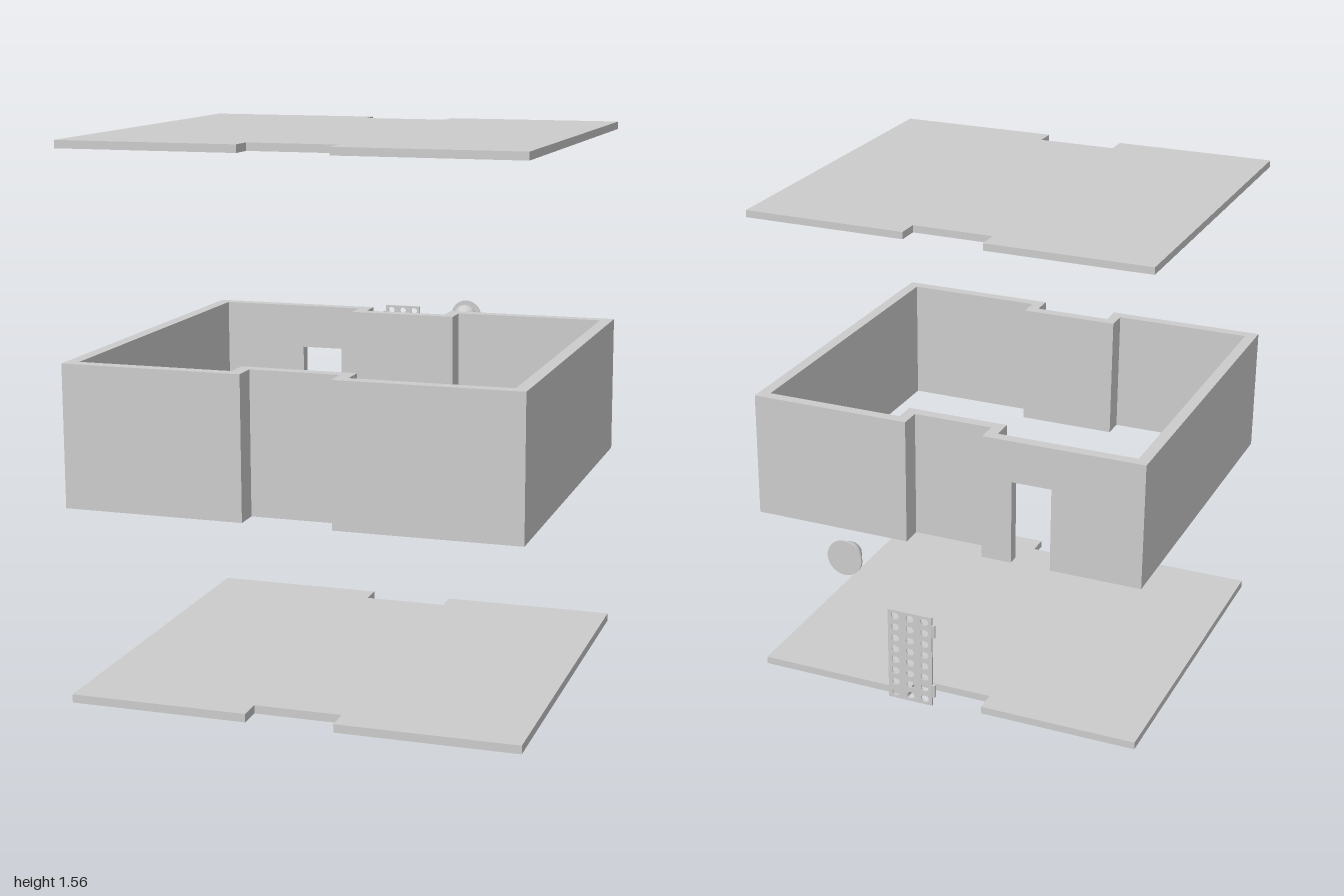
import * as THREE from 'three';

const material = new THREE.MeshStandardMaterial({ color: 0xcccccc });
const X = 0.643, BACK = -0.15, FRONT = 1.0;     // room extents
const N0 = -0.128, N1 = 0.125, DEPTH = 0.07;    // recesses in front and back
const T = 0.036;                                // wall thickness
const D0 = -0.352, D1 = -0.225;                 // doorway
const WALL_Y = 0.56, WALL_TOP = 0.963, DOOR_TOP = 0.83;

// room outline inset by t, starting and ending at the doorway
function outline(t) {
  const b = BACK + t, f = FRONT - t, l = N0 - t, r = N1 + t, x = X - t;
  return [
    [D1, b], [l, b], [l, b + DEPTH], [r, b + DEPTH], [r, b], [x, b],
    [x, f], [r, f], [r, f - DEPTH], [l, f - DEPTH], [l, f], [-x, f], [-x, b], [D0, b],
  ].map(([px, pz]) => new THREE.Vector2(px, -pz));
}

function add(parent, name, geometry, x = 0, y = 0, z = 0) {
  const mesh = new THREE.Mesh(geometry, material);
  mesh.name = name;
  mesh.position.set(x, y, z);
  parent.add(mesh);
  return mesh;
}

// upright prism from a plan outline
function prism(points, height) {
  const g = new THREE.ExtrudeGeometry(new THREE.Shape(points), { depth: height, bevelEnabled: false });
  return g.rotateX(-Math.PI / 2);
}

function createWalls() {
  const walls = new THREE.Group();
  walls.name = 'walls';
  add(walls, 'wallRing', prism([...outline(0), ...outline(T).reverse()], WALL_TOP - WALL_Y), 0, WALL_Y, 0);
  add(walls, 'doorLintel', new THREE.BoxGeometry(D1 - D0, WALL_TOP - DOOR_TOP, T),
    (D0 + D1) / 2, (WALL_TOP + DOOR_TOP) / 2, BACK + T / 2);
  return walls;
}

// perforated door with hinges on its right edge
function createDoor() {
  const door = new THREE.Group();
  door.name = 'door';
  const w = D1 - D0, h = 0.265, cols = 3, rows = 8;
  const shape = new THREE.Shape([[0, 0], [w, 0], [w, h], [0, h]].map(p => new THREE.Vector2(...p)));
  const cw = w / cols, ch = h / rows;
  for (let i = 0; i < cols; i++) {
    for (let j = 0; j < rows; j++) {
      const hole = new THREE.Path();
      hole.absellipse((i + 0.5) * cw, (j + 0.5) * ch, cw * 0.28, ch * 0.32, 0, Math.PI * 2, true);
      shape.holes.push(hole);
    }
  }
  const panel = new THREE.ExtrudeGeometry(shape, { depth: 0.006, bevelEnabled: false, curveSegments: 4 });
  add(door, 'doorPanel', panel, D0, 0.565, -0.998);
  for (const y of [0.61, 0.79]) {
    add(door, 'hinge', new THREE.CylinderGeometry(0.006, 0.006, 0.036, 12), D0 - 0.003, y, -0.994);
  }
  return door;
}

// wall lamp: mounting plate, tapered body and a nose tilted downwards
function createLamp() {
  const lamp = new THREE.Group();
  lamp.name = 'lamp';
  lamp.position.set(0, 0.84, -0.804);
  add(lamp, 'mountingPlate', new THREE.CylinderGeometry(0.052, 0.052, 0.006, 32).rotateX(Math.PI / 2), 0, 0, 0.003);
  const profile = [[0.036, 0], [0.04, 0.016], [0.037, 0.026], [0.028, 0.044], [0.017, 0.058], [0, 0.062]]
    .map(p => new THREE.Vector2(...p));
  add(lamp, 'lampBody', new THREE.LatheGeometry(profile, 32).rotateX(Math.PI / 2), 0, 0, 0.006);
  const nose = add(lamp, 'lampNose', new THREE.CylinderGeometry(0.012, 0.022, 0.034, 24).rotateX(Math.PI / 2), 0, -0.008, 0.064);
  nose.rotation.x = 0.35;
  return lamp;
}

export function createModel() {
  const model = new THREE.Group();
  model.name = 'explodedRoom';
  add(model, 'floor', prism(outline(0), 0.024));
  add(model, 'ceiling', prism(outline(0), 0.022), 0, 1.541, 0);
  model.add(createWalls(), createDoor(), createLamp());
  return model;
}
